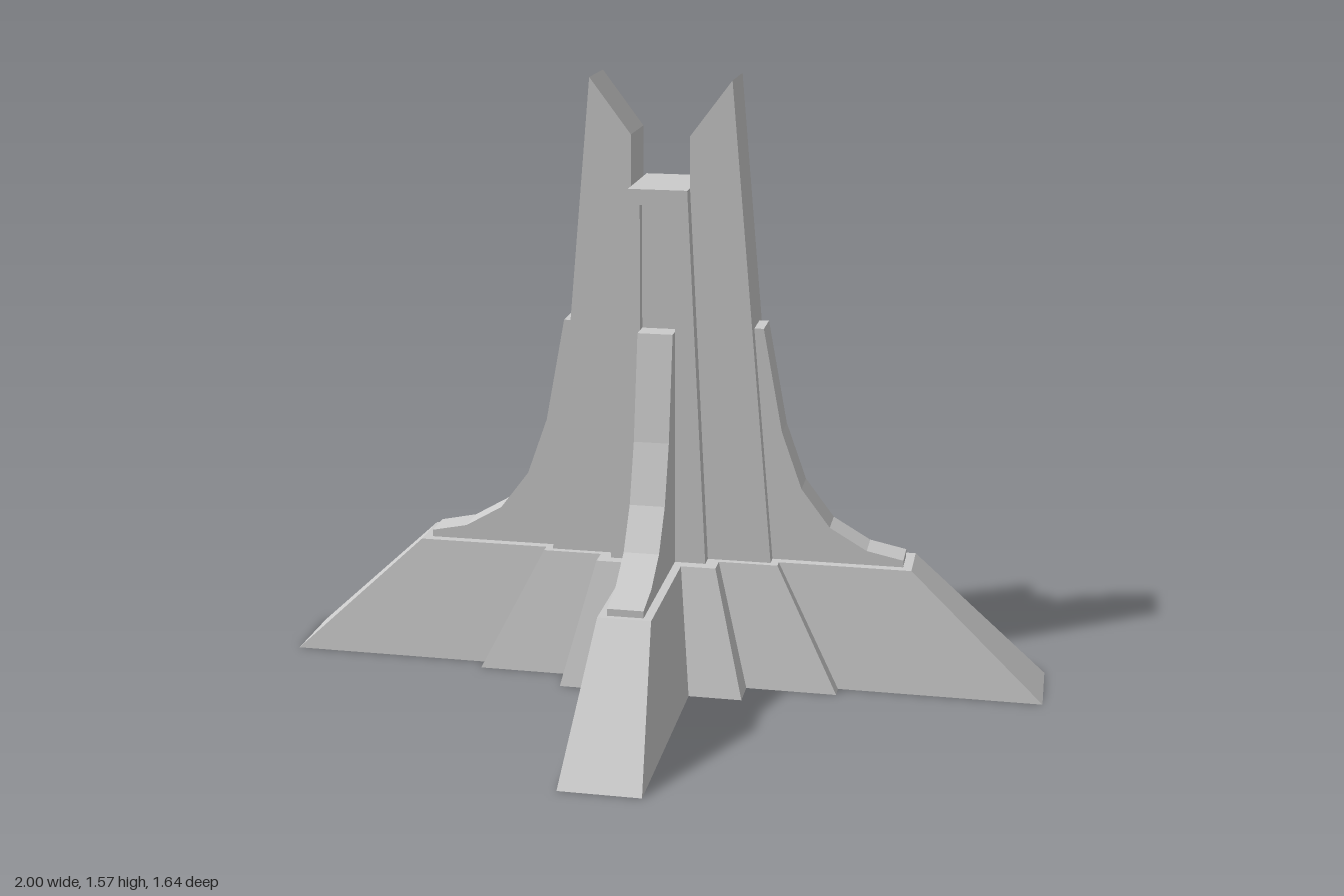
import * as THREE from 'three';

const LEDGE = 0.325; // height where the tower meets the base
const material = new THREE.MeshStandardMaterial({ color: 0xcccccc, flatShading: true });
const openMaterial = new THREE.MeshStandardMaterial({ color: 0xcccccc, flatShading: true, side: THREE.DoubleSide });

const toShape = (pts) => new THREE.Shape(pts.map(([x, y]) => new THREE.Vector2(x, y)));

// Extrude an outline drawn in x-y from z = z0 to z = z1
function slab(name, pts, z0, z1, angle = 0) {
  const geo = new THREE.ExtrudeGeometry(toShape(pts), { depth: z1 - z0, bevelEnabled: false });
  geo.translate(0, 0, z0);
  const mesh = new THREE.Mesh(geo, material);
  mesh.name = name;
  mesh.rotation.y = angle;
  return mesh;
}

// Stepped cross outline, mirrored from one quarter
function crossOutline(scale) {
  const q = [[1, 0.105], [0.475, 0.105], [0.475, 0.145], [0.24, 0.145], [0.24, 0.225], [0.102, 0.225], [0.102, 0.82]]
    .map(([x, z]) => [x * scale, z * scale]);
  const r = [...q].reverse();
  return [
    ...q,
    ...r.map(([x, z]) => [-x, z]),
    ...q.map(([x, z]) => [-x, -z]),
    ...r.map(([x, z]) => [x, -z]),
  ];
}

function createBase() {
  const base = new THREE.Group();
  base.name = 'base';
  const low = crossOutline(1);
  const high = crossOutline(0.653);

  // Sloping walls, open underneath
  const pos = [];
  low.forEach((a, i) => {
    const j = (i + 1) % low.length;
    const A = [a[0], 0, a[1]];
    const B = [low[j][0], 0, low[j][1]];
    const C = [high[j][0], LEDGE, high[j][1]];
    const D = [high[i][0], LEDGE, high[i][1]];
    pos.push(...A, ...D, ...C, ...A, ...C, ...B);
  });
  const wallGeo = new THREE.BufferGeometry();
  wallGeo.setAttribute('position', new THREE.Float32BufferAttribute(pos, 3));
  wallGeo.computeVertexNormals();
  const walls = new THREE.Mesh(wallGeo, openMaterial);
  walls.name = 'baseWalls';

  const deckGeo = new THREE.ShapeGeometry(toShape(high));
  deckGeo.rotateX(-Math.PI / 2);
  const deck = new THREE.Mesh(deckGeo, openMaterial);
  deck.name = 'baseDeck';
  deck.position.y = LEDGE;

  base.add(walls, deck);
  return base;
}

// Curved buttress: stepped sweep from the tower wall out to the arm
function createButtress(name, offset, inner, angle) {
  const curve = [[0.15, 0.94], [0.2, 0.67], [0.253, 0.52], [0.328, 0.42], [0.425, 0.363], [0.52, 0.343], [0.52, LEDGE]];
  const pts = [[inner, LEDGE], [inner, 0.94], ...curve.map(([r, y]) => [r + offset, y])];
  return slab(name, pts, -0.045, 0.045, angle);
}

export function createModel() {
  const model = new THREE.Group();
  model.name = 'tower';
  model.add(createBase());

  // Central block, with a recessed panel framed on front and back
  const w0 = 0.125, w1 = 0.075, top = 1.3;
  model.add(slab('centralBlock', [[-w0, LEDGE], [w0, LEDGE], [w1, top], [-w1, top]], -0.09, 0.09));
  const frame = [
    [-w0, LEDGE], [-0.045, LEDGE], [-0.045, 1.26], [0.045, 1.26],
    [0.045, LEDGE], [w0, LEDGE], [w1, top], [-w1, top],
  ];
  model.add(slab('frontFrame', frame, 0.09, 0.117));
  model.add(slab('backFrame', frame, 0.09, 0.117, Math.PI));

  // Two tall pylons with slanted tops
  const pylon = [[0.075, LEDGE], [0.29, LEDGE], [0.18, 1.57], [0.075, 1.43]];
  model.add(slab('leftPylon', pylon, -0.078, 0.078));
  model.add(slab('rightPylon', pylon, -0.078, 0.078, Math.PI));

  // Buttresses on all four arms
  model.add(createButtress('leftButtress', 0.11, 0.2, 0));
  model.add(createButtress('rightButtress', 0.11, 0.2, Math.PI));
  model.add(createButtress('frontButtress', 0, 0.085, -Math.PI / 2));
  model.add(createButtress('backButtress', 0, 0.085, Math.PI / 2));

  return model;
}
